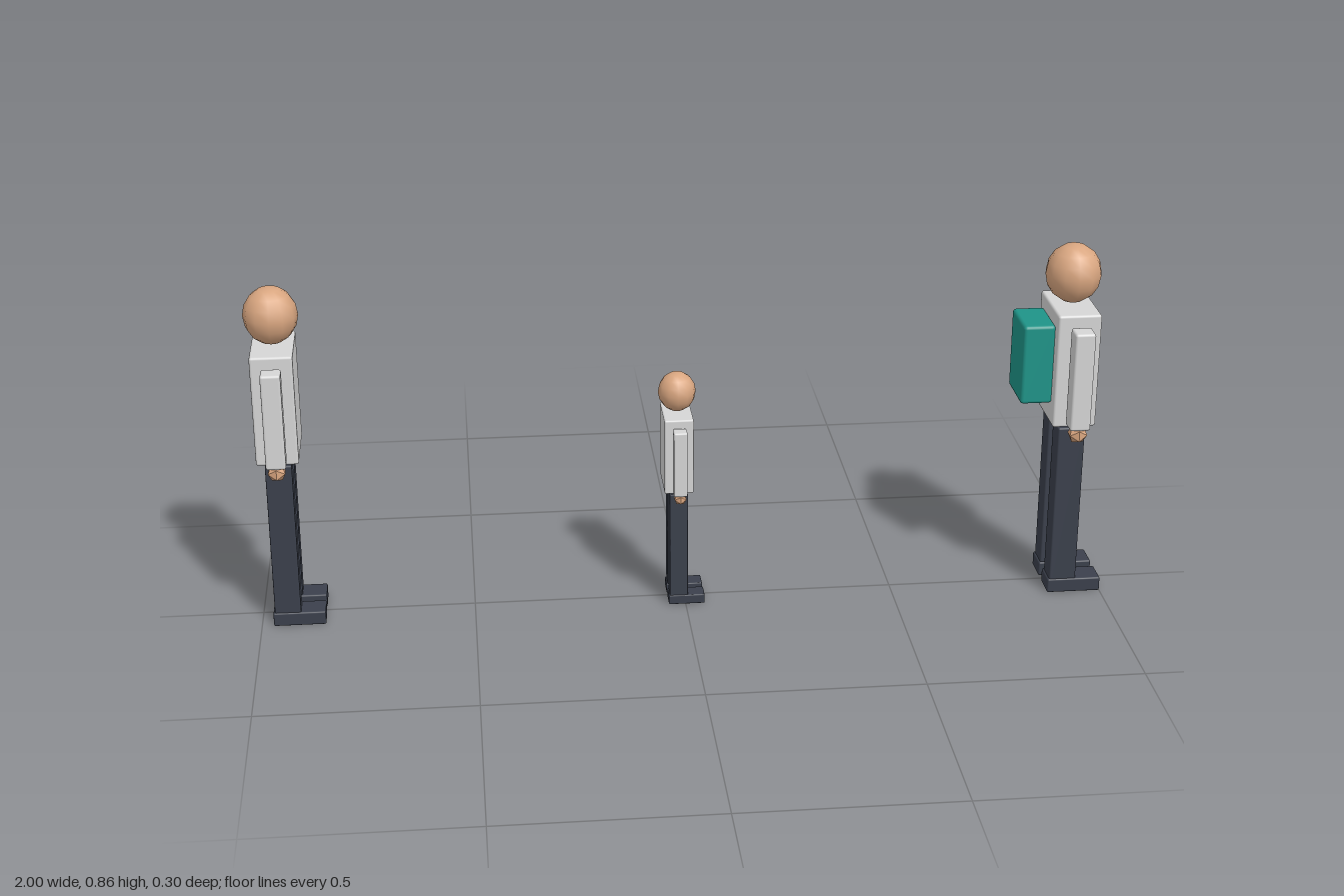
import * as THREE from 'three';
import { RoundedBoxGeometry } from 'three/addons/geometries/RoundedBoxGeometry.js';

const material = (name, color) => {
  const m = new THREE.MeshStandardMaterial({ color });
  m.name = name;
  return m;
};

export function createModel() {
  const shirt = material('light grey shirt', 0xd6d6d6);
  const skin = material('skin', 0xd9a680);
  const trousers = material('dark slate trousers', 0x3b404c);
  const teal = material('teal pack', 0x1f9488);

  // Softly bevelled box given by its [min, max] range on each axis
  const block = (name, mat, [x0, x1], [y0, y1], [z0, z1], bevel = 0.006) => {
    const geo = new RoundedBoxGeometry(x1 - x0, y1 - y0, z1 - z0, 2, bevel);
    const mesh = new THREE.Mesh(geo, mat);
    mesh.name = name;
    mesh.position.set((x0 + x1) / 2, (y0 + y1) / 2, (z0 + z1) / 2);
    return mesh;
  };

  // One standing figure facing +x
  const person = (name, x, scale, hasPack) => {
    const figure = new THREE.Group();
    figure.name = name;

    const head = new THREE.Mesh(new THREE.SphereGeometry(0.066, 12, 8), skin);
    head.name = 'head';
    head.scale.y = 1.07;
    head.position.y = 0.788;
    figure.add(head, block('torso', shirt, [-0.051, 0.051], [0.437, 0.714], [-0.091, 0.091]));

    // Limbs, mirrored across z
    for (const s of [-1, 1]) {
      const side = s < 0 ? 'left' : 'right';
      const span = (a, b) => (s > 0 ? [a, b] : [-b, -a]);
      figure.add(
        block(side + 'Arm', shirt, [-0.024, 0.024], [0.45, 0.69], span(0.102, 0.15)),
        block(side + 'Leg', trousers, [-0.032, 0.032], [0.012, 0.428], span(0.019, 0.076), 0.004),
        block(side + 'Foot', trousers, [-0.036, 0.092], [0, 0.035], span(0.014, 0.079), 0.004)
      );
      const hand = new THREE.Mesh(new THREE.IcosahedronGeometry(0.024, 0), skin);
      hand.name = side + 'Hand';
      hand.position.set(0, 0.435, s * 0.126);
      figure.add(hand);
    }

    if (hasPack) {
      figure.add(block('backpack', teal, [-0.124, -0.049], [0.488, 0.681], [-0.065, 0.065], 0.008));
    }

    figure.scale.setScalar(scale);
    figure.position.x = x;
    return figure;
  };

  const group = new THREE.Group();
  group.name = 'threePeople';
  group.add(
    person('adult', -0.938, 0.952, false),
    person('child', -0.016, 0.67, false),
    person('hiker', 0.908, 1, true)
  );
  return group;
}
